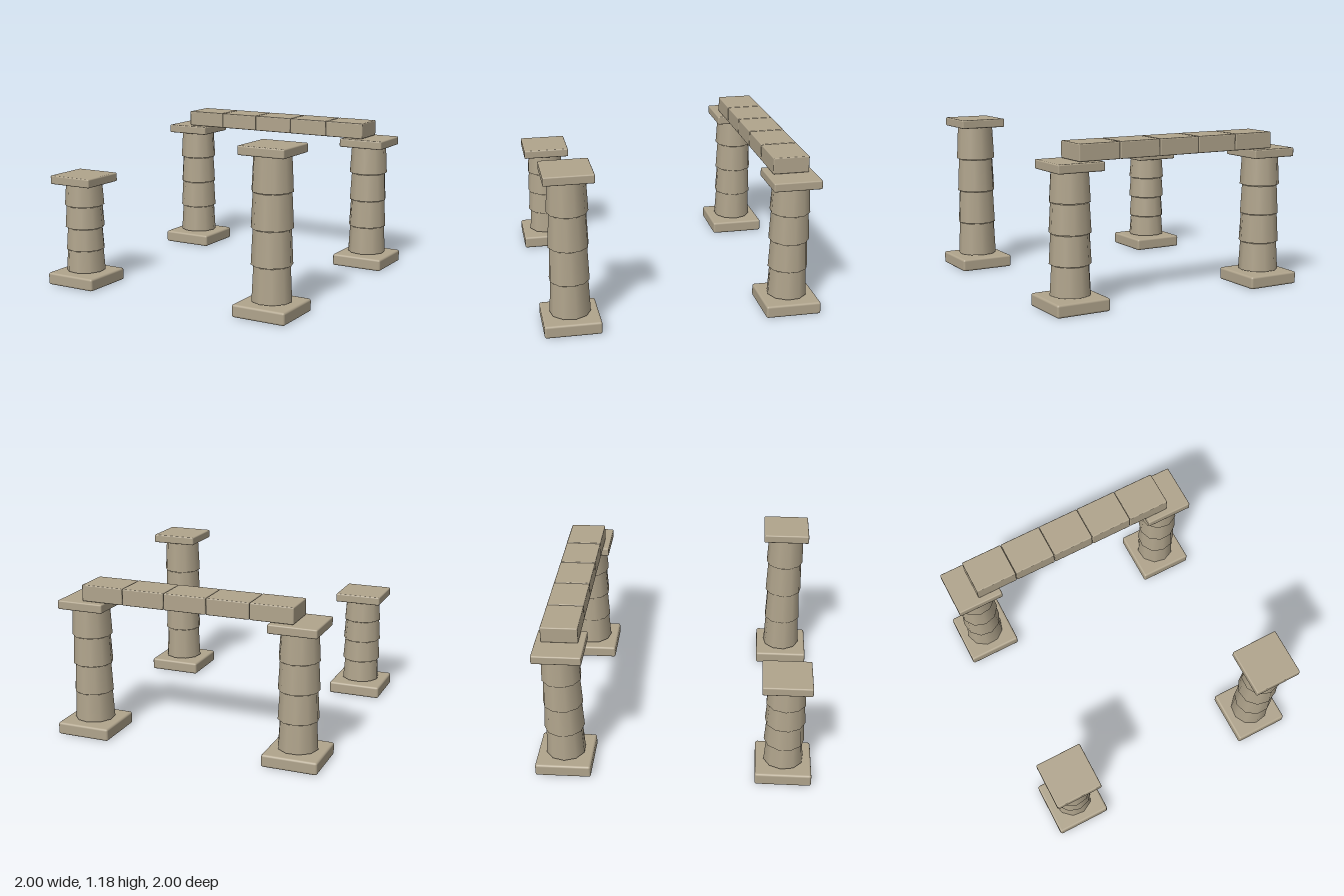
import * as THREE from 'three';
import { RoundedBoxGeometry } from 'three/addons/geometries/RoundedBoxGeometry.js';

const stone = new THREE.MeshStandardMaterial({ color: 0xb0a48c });
stone.name = 'sandstone';

const OFFSET = 0.797; // pillar centres in x and z
const SHAFT_BOTTOM = 0.1;
const CAP_HEIGHT = 0.065;
const DRUMS = 4;

function add(parent, name, geometry, x, y, z) {
  const mesh = new THREE.Mesh(geometry, stone);
  mesh.name = name;
  mesh.position.set(x, y, z);
  parent.add(mesh);
  return mesh;
}

// Square plinth, four tapered drums and a flat cap
function makePillar(name, x, z, top, seed) {
  const pillar = new THREE.Group();
  pillar.name = name;
  pillar.position.set(x, 0, z);
  add(pillar, 'plinth', new RoundedBoxGeometry(0.406, 0.092, 0.406, 2, 0.016), 0, 0.046, 0);

  const pitch = (top - CAP_HEIGHT - SHAFT_BOTTOM) / DRUMS;
  for (let i = 0; i < DRUMS; i++) {
    const drum = new THREE.CylinderGeometry(0.134, 0.146, pitch - 0.006, 10);
    const mesh = add(pillar, 'drum', drum, 0, SHAFT_BOTTOM + pitch * (i + 0.5), 0);
    mesh.rotation.y = (seed + i * 1.7) % (Math.PI / 5); // each drum turned a little
  }

  add(pillar, 'cap', new RoundedBoxGeometry(0.352, CAP_HEIGHT, 0.352, 2, 0.01), 0, top - CAP_HEIGHT / 2, 0);
  return pillar;
}

export function createModel() {
  const ruin = new THREE.Group();
  ruin.name = 'ruinedColonnade';

  // Broken pillars in front, matching pair behind
  ruin.add(
    makePillar('shortFrontPillar', -OFFSET, OFFSET, 0.83, 0.2),
    makePillar('tallFrontPillar', OFFSET, OFFSET, 1.18, 0.5),
    makePillar('rightBackPillar', -OFFSET, -OFFSET, 1.021, 0.35),
    makePillar('leftBackPillar', OFFSET, -OFFSET, 1.021, 0.1),
  );

  // Lintel of five blocks across the back pair
  const lintel = new THREE.Group();
  lintel.name = 'lintel';
  const block = new RoundedBoxGeometry(0.315, 0.12, 0.265, 2, 0.008);
  for (let i = -2; i <= 2; i++) add(lintel, 'lintelBlock', block, i * 0.318, 1.083, -OFFSET);
  ruin.add(lintel);

  return ruin;
}
